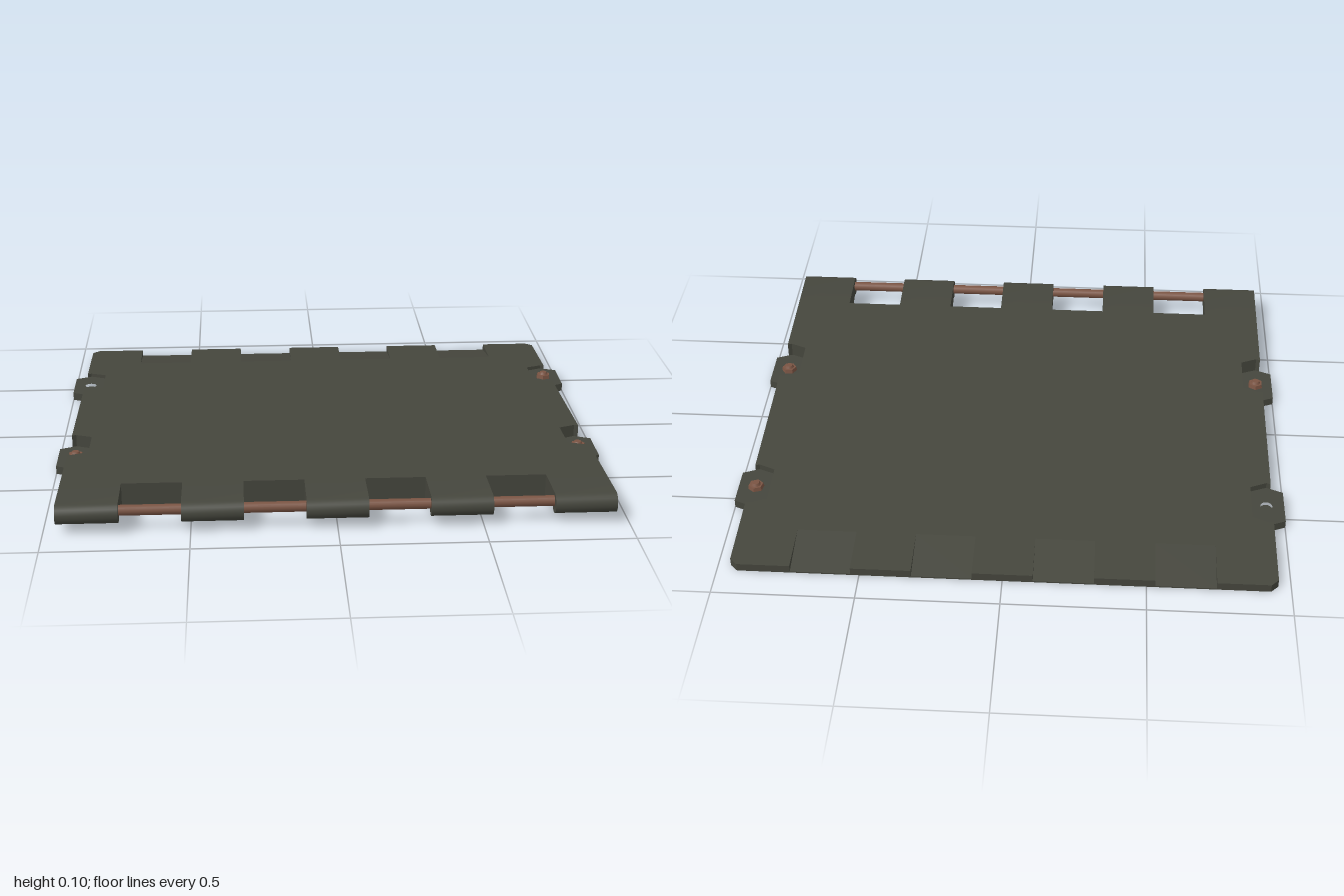
import * as THREE from 'three';
import { toCreasedNormals } from 'three/addons/utils/BufferGeometryUtils.js';

const HALF = 0.955, STRIP = HALF * 2 / 9;       // plate half width, strip width
const BACK = -0.885, TABS = -0.7, FRONT = 0.675; // z of rear edge, tab roots, hinge gaps
const slope = z => 0.068 + 0.0433 * z;           // height of the wedge's upper face

const shapeOf = pts => new THREE.Shape(pts.map(p => new THREE.Vector2(p[0], p[1])));

// Upright prism over an (x, z) outline; its top follows topAt(z)
function prism(shape, topAt) {
  const g = new THREE.ExtrudeGeometry(shape, { depth: 1, bevelEnabled: false, curveSegments: 8 });
  g.rotateX(Math.PI / 2);
  const p = g.attributes.position;
  for (let i = 0; i < p.count; i++) p.setY(i, p.getY(i) > -0.5 ? topAt(p.getZ(i)) : 0);
  g.computeVertexNormals();
  return g;
}

export function createModel() {
  const model = new THREE.Group();
  model.name = 'hingedPlate';
  const armour = new THREE.MeshStandardMaterial({ color: 0x45463d });
  armour.name = 'dark olive metal';
  const rust = new THREE.MeshStandardMaterial({ color: 0x7a5443 });
  rust.name = 'rusty steel';

  const add = (name, geometry, material, x = 0, y = 0, z = 0, parent = model) => {
    const m = new THREE.Mesh(geometry, material);
    m.name = name;
    m.position.set(x, y, z);
    parent.add(m);
    return m;
  };

  // Main wedge, with pockets cut into both sides for the lugs
  const lugZ = [-0.465, 0.278];
  const side = [[HALF, TABS]];
  for (const c of lugZ) {
    for (const [x, z] of [[HALF, -0.099], [0.94, -0.105], [0.88, -0.08], [0.88, 0.08], [0.94, 0.105], [HALF, 0.099]])
      side.push([x, c + z]);
  }
  side.push([HALF, FRONT]);
  const mirrored = side.map(([x, z]) => [-x, z]).reverse();
  add('plateBody', prism(shapeOf([...side, ...mirrored]), slope), armour);

  // Rear tabs: every second one tapers down to a thin edge
  const lowSlope = z => THREE.MathUtils.mapLinear(z, TABS, BACK, slope(TABS), 0.005);
  for (let i = 0; i < 9; i++) {
    const a = -HALF + i * STRIP, b = a + STRIP;
    const cutA = i === 0 ? 0.026 : 0, cutB = i === 8 ? 0.026 : 0; // clipped outer corners
    const pts = [[a, TABS], [b, TABS]];
    if (cutB) pts.push([b, BACK + cutB]);
    pts.push([b - cutB, BACK], [a + cutA, BACK]);
    if (cutA) pts.push([a, BACK + cutA]);
    add('rearTab', prism(shapeOf(pts), i % 2 ? lowSlope : slope), armour);
  }

  // Front hinge knuckles: side profile in (z, y), pushed along x
  const profile = [[FRONT, 0], [FRONT, slope(FRONT)]];
  for (let k = 0; k <= 14; k++) {
    const t = THREE.MathUtils.degToRad(90 - k * 230 / 14);
    profile.push([0.849 + 0.036 * Math.cos(t), 0.069 + 0.036 * Math.sin(t)]);
  }
  profile.push([0.68, 0]);
  let knuckle = new THREE.ExtrudeGeometry(shapeOf(profile), { depth: STRIP, bevelEnabled: false });
  knuckle.rotateY(-Math.PI / 2).translate(STRIP / 2, 0, 0);
  knuckle = toCreasedNormals(knuckle, 0.5);
  for (let i = -4; i <= 4; i += 2) add('hingeKnuckle', knuckle, armour, i * STRIP);

  // Hinge pin
  const pin = new THREE.CylinderGeometry(0.0185, 0.0185, 1.8, 16).rotateZ(Math.PI / 2);
  add('hingePin', pin, rust, 0, 0.074, 0.843);

  // Side lugs with bolt holes; one bolt is missing
  const lugShape = shapeOf([[0.065, -0.08], [0.005, -0.105], [-0.055, -0.08],
    [-0.055, 0.08], [0.005, 0.105], [0.065, 0.08]]);
  lugShape.holes.push(new THREE.Path().absarc(0, 0, 0.022, 0, Math.PI * 2, true));
  const lug = prism(lugShape, () => 0.03);
  const plug = new THREE.CylinderGeometry(0.022, 0.022, 0.008, 16);
  const head = toCreasedNormals(new THREE.CylinderGeometry(0.027, 0.03, 0.015, 6), 0.5);
  const cap = new THREE.CylinderGeometry(0.013, 0.018, 0.009, 12);
  for (const s of [1, -1]) {
    for (const z of lugZ) {
      const g = new THREE.Group();
      g.name = s > 0 ? 'leftLug' : 'rightLug';
      g.position.set(s * 0.935, 0, z);
      model.add(g);
      add('lugPlate', lug, armour, 0, 0, 0, g).rotation.y = s > 0 ? 0 : Math.PI;
      add('holeFloor', plug, armour, 0, 0.014, 0, g);
      if (s < 0 && z < 0) continue;
      add('boltHead', head, rust, 0, 0.0375, 0, g).rotation.y = s * 0.3 + z;
      add('boltCap', cap, rust, 0, 0.0495, 0, g);
    }
  }
  return model;
}
